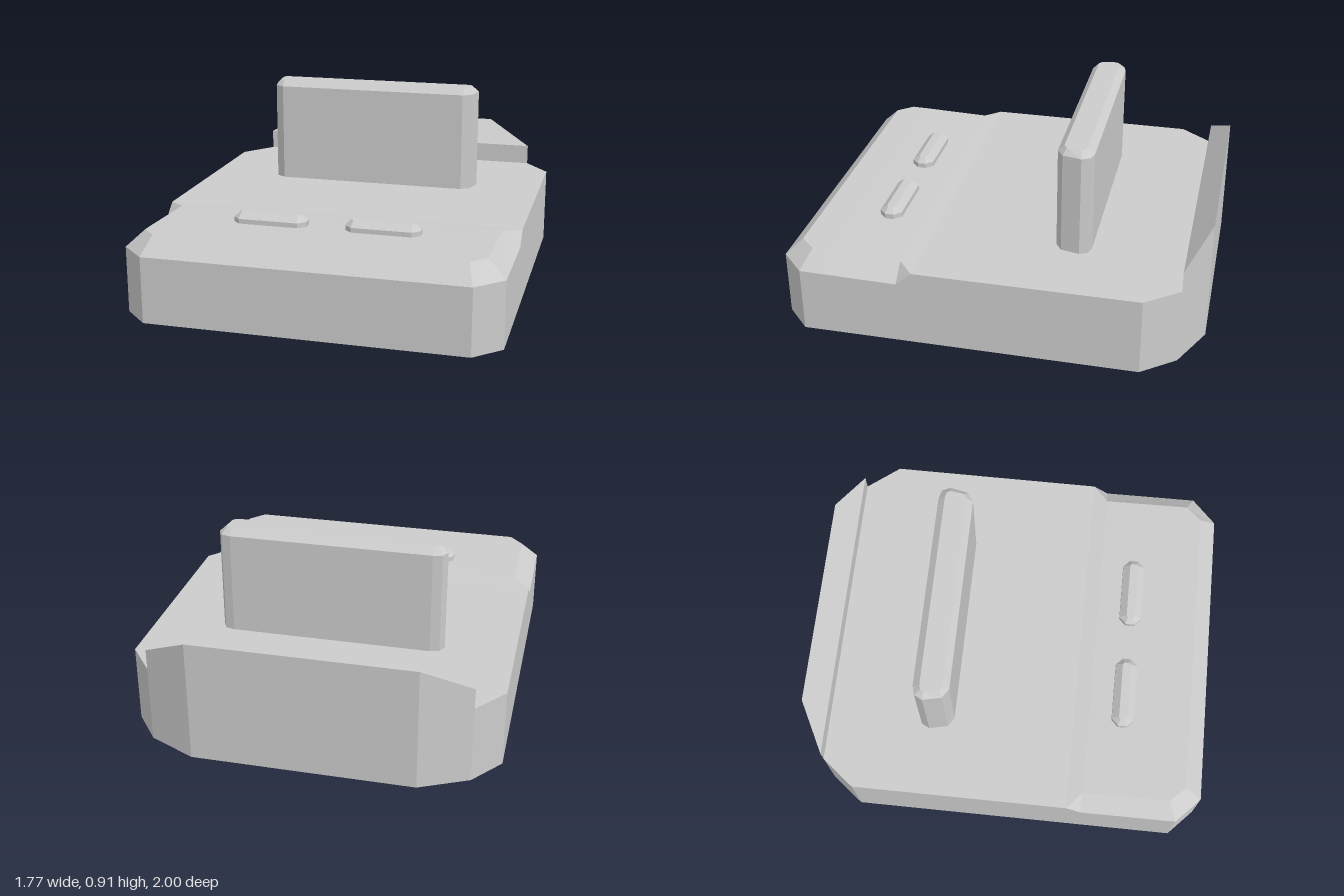
import * as THREE from 'three';

const material = new THREE.MeshStandardMaterial({ color: 0xcccccc, flatShading: true });

// Skin a row of half-rings, each mirrored in x, and close both ends with strips.
function mirroredLoft(halves, name) {
  const rings = halves.map(half => [
    ...half.map(([x, y, z]) => new THREE.Vector3(-x, y, z)),
    ...half.map(([x, y, z]) => new THREE.Vector3(x, y, z)).reverse()
  ]);
  const positions = [];
  const triangle = (a, b, c) => {
    if (new THREE.Triangle(a, b, c).getArea() < 1e-7) return;
    for (const p of [a, b, c]) positions.push(p.x, p.y, p.z);
  };
  const quad = (a, b, c, d) => { triangle(a, b, c); triangle(a, c, d); };
  const n = rings[0].length;
  for (let k = 0; k < rings.length - 1; k++) {
    const a = rings[k], b = rings[k + 1];
    for (let i = 0; i < n; i++) {
      const j = (i + 1) % n;
      quad(a[i], b[i], b[j], a[j]);
    }
  }
  const first = rings[0], last = rings[rings.length - 1];
  for (let i = 0; i < n / 2 - 1; i++) {
    quad(first[i], first[i + 1], first[n - 2 - i], first[n - 1 - i]);
    quad(last[n - 1 - i], last[n - 2 - i], last[i + 1], last[i]);
  }
  const geometry = new THREE.BufferGeometry();
  geometry.setAttribute('position', new THREE.Float32BufferAttribute(positions, 3));
  geometry.computeVertexNormals();
  const mesh = new THREE.Mesh(geometry, material);
  mesh.name = name;
  return mesh;
}

// Base: sections from back to front, each a wall edge and a top edge
function createBase() {
  const section = (side, top = side) => [[side[0], 0, side[2]], side, top];
  return mirroredLoft([
    section([0.53, 0.6, -1]),          // raised back lip
    section([0.76, 0.48, -0.89]),
    section([0.76, 0.38, -0.89]),      // step down to the deck
    section([0.885, 0.38, -0.73]),
    section([0.885, 0.38, 0.15]),
    section([0.885, 0.38, 0.335]),     // side bevel begins
    section([0.885, 0.312, 0.41], [0.8, 0.387, 0.41]),
    section([0.885, 0.318, 0.75], [0.8, 0.398, 0.75]),
    section([0.885, 0.32, 0.88], [0.8, 0.4, 0.84]),
    section([0.76, 0.32, 1], [0.73, 0.402, 0.915])
  ], 'base');
}

// Upright slab with softened corners and a bevelled top
function createUprightSlab() {
  const outer = [[0.485, -0.265], [0.53, -0.295], [0.55, -0.385], [0.53, -0.425], [0.485, -0.437]];
  const inner = [[0.485, -0.295], [0.508, -0.31], [0.517, -0.38], [0.51, -0.395], [0.485, -0.403]];
  const ring = (outline, y) => outline.map(([x, z]) => [x, y, z]);
  return mirroredLoft([ring(outer, 0.36), ring(outer, 0.88), ring(inner, 0.91)], 'uprightSlab');
}

// Low button with cut corners and a bevelled top
function createButton(name) {
  const ring = (x, z, cut, y) => [[x - cut, y, z], [x, y, z - cut], [x, y, cut - z], [x - cut, y, -z]];
  const button = mirroredLoft([
    ring(0.178, 0.055, 0.034, 0.37),
    ring(0.178, 0.055, 0.034, 0.417),
    ring(0.148, 0.021, 0.008, 0.445)
  ], name);
  button.position.z = 0.578;
  return button;
}

export function createModel() {
  const model = new THREE.Group();
  model.name = 'dock';
  model.add(createBase(), createUprightSlab());
  for (const [name, side] of [['leftButton', 1], ['rightButton', -1]]) {
    const button = createButton(name);
    button.position.x = side * 0.273;
    model.add(button);
  }
  return model;
}
